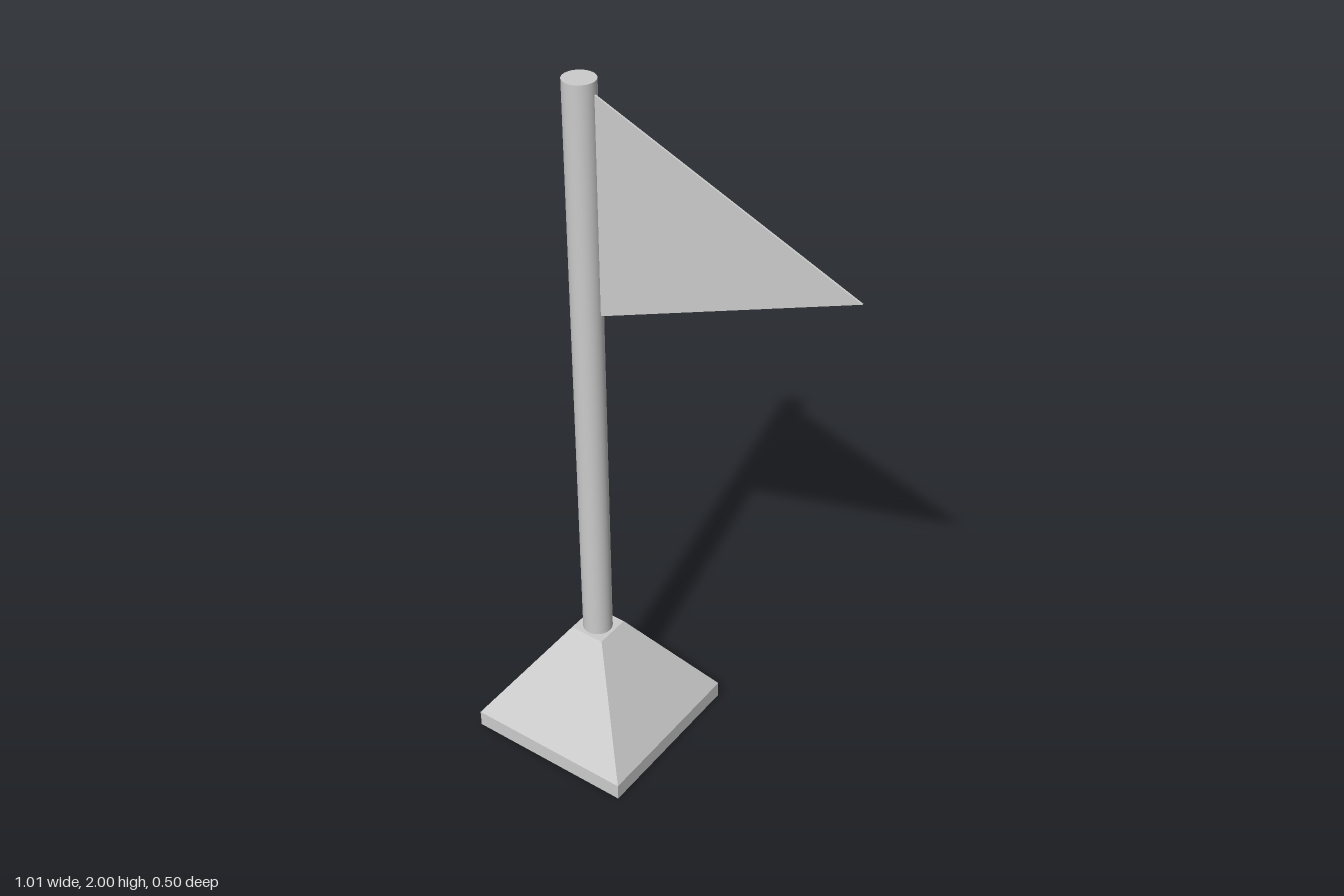
import * as THREE from 'three';

const POLE_X = -0.255;

export function createModel() {
  const model = new THREE.Group();
  const smooth = new THREE.MeshStandardMaterial({ color: 0xcccccc });
  const flat = new THREE.MeshStandardMaterial({ color: 0xcccccc, flatShading: true });

  const add = (name, geometry, material, x, y, z = 0) => {
    const mesh = new THREE.Mesh(geometry, material);
    mesh.name = name;
    mesh.position.set(x, y, z);
    model.add(mesh);
  };

  // Square foot slab
  add('baseSlab', new THREE.BoxGeometry(0.496, 0.05, 0.496), flat, POLE_X, 0.025);

  // Truncated pyramid: a four-sided cylinder turned square to the axes
  const pyramid = new THREE.CylinderGeometry(0.052 * Math.SQRT2, 0.248 * Math.SQRT2, 0.29, 4);
  pyramid.rotateY(Math.PI / 4);
  add('basePyramid', pyramid, flat, POLE_X, 0.195);

  // Round pole standing in the base
  add('pole', new THREE.CylinderGeometry(0.042, 0.042, 1.68, 32), smooth, POLE_X, 1.16);

  // Thin triangular pennant, its edge just inside the pole
  const pennant = new THREE.Shape([
    new THREE.Vector2(-0.218, 1.38),
    new THREE.Vector2(0.503, 1.675),
    new THREE.Vector2(-0.218, 1.97),
  ]);
  const flag = new THREE.ExtrudeGeometry(pennant, { depth: 0.005, bevelEnabled: false });
  add('flag', flag, flat, 0, 0, -0.006);

  return model;
}
